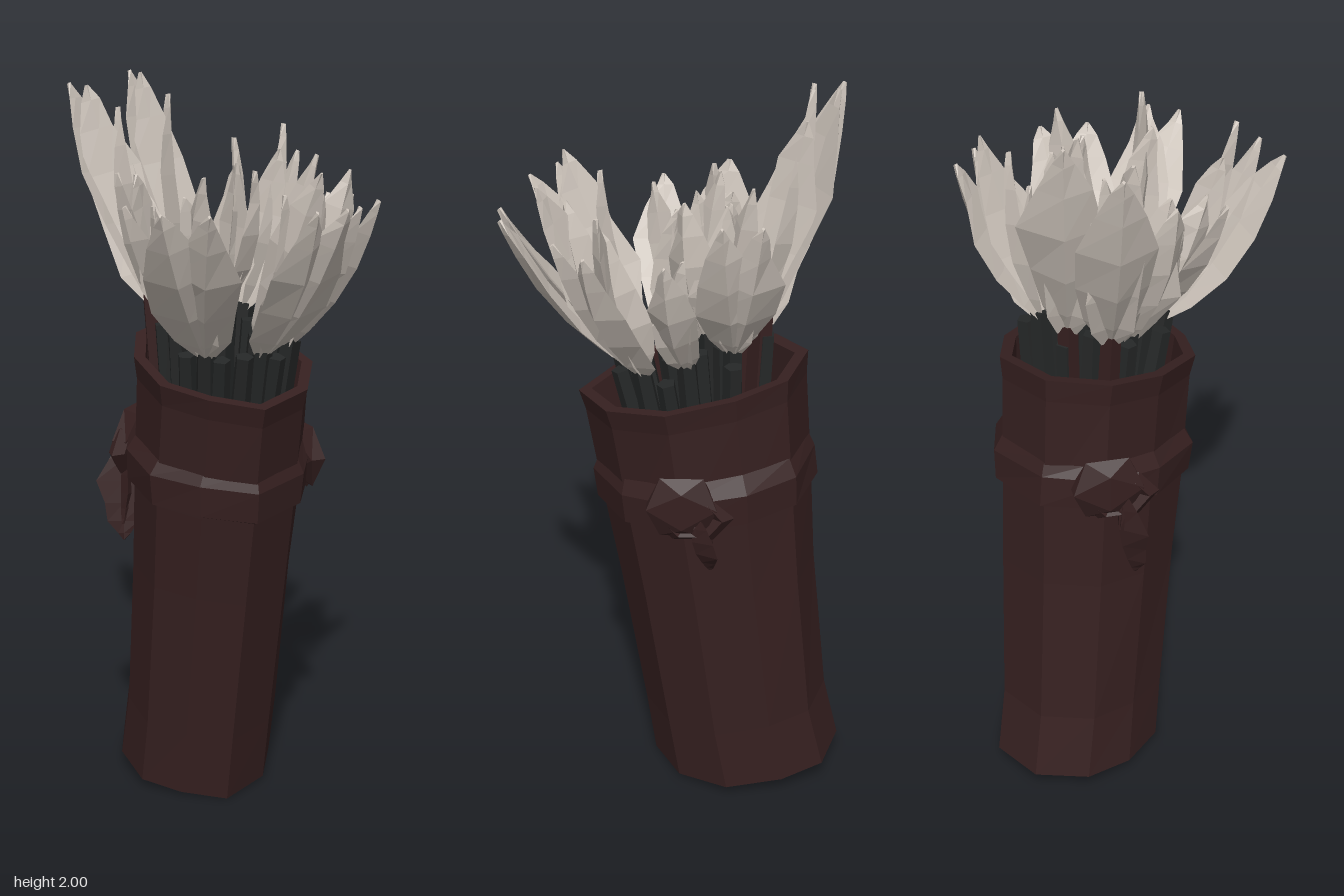
import * as THREE from 'three';

const mat = (name, color) => {
  const m = new THREE.MeshStandardMaterial({ color, flatShading: true, side: THREE.DoubleSide });
  m.name = name;
  return m;
};

// Small seeded random generator
let seed = 7;
const rand = () => (seed = (seed * 16807) % 2147483647) / 2147483647;

// Skin a list of equal-length point rings, with optional end caps
function loft(rings, capped = true) {
  const n = rings[0].length, idx = [];
  const pos = rings.flat().flatMap(p => [p.x, p.y, p.z]);
  for (let r = 0; r < rings.length - 1; r++)
    for (let i = 0; i < n; i++) {
      const a = r * n + i, b = r * n + (i + 1) % n;
      idx.push(a, b, b + n, a, b + n, a + n);
    }
  const last = (rings.length - 1) * n;
  for (let i = 1; capped && i < n - 1; i++)
    idx.push(0, i + 1, i, last, last + i, last + i + 1);
  const g = new THREE.BufferGeometry();
  g.setAttribute('position', new THREE.Float32BufferAttribute(pos, 3));
  g.setIndex(idx);
  const flat = g.toNonIndexed();
  flat.computeVertexNormals();
  return flat;
}

// Irregular ten-sided outline of the leather tube (x, z), front first
const OUTLINE = [[-0.1, 1], [0.6, 0.72], [1, 0.2], [0.92, -0.4], [0.62, -0.84],
  [-0.1, -1.02], [-0.72, -0.74], [-1, -0.25], [-1, 0.35], [-0.62, 0.72]];
const ring = (cx, cy, cz, rx, rz, tilt, wobble = 0) => OUTLINE.map(([x, z]) => {
  const k = 1 + (rand() - 0.5) * wobble;
  return new THREE.Vector3(cx + x * rx * k, cy - z * rz * tilt, cz + z * rz * k);
});

// Direction lying across a leaf that runs along axis
const across = axis => axis.clone().cross(new THREE.Vector3(0, 1, 0)).normalize();

// Folded, bowed leaf shape between two points
const PROFILE = [[0, 0.28], [0.13, 0.72], [0.36, 1], [0.6, 0.95], [0.8, 0.6], [0.93, 0.28], [1, 0.05]];
function blade(a, b, width, roll = 0, bow = 0.03) {
  const axis = b.clone().sub(a).normalize();
  const w = across(axis).applyAxisAngle(axis, roll);
  const n = axis.clone().cross(w);
  return loft(PROFILE.map(([t, k]) => {
    const c = a.clone().lerp(b, t).addScaledVector(n, bow * Math.sin(Math.PI * t));
    const h = k * width / 2, thick = 0.006 + 0.014 * k;
    const edge = s => c.clone().addScaledVector(w, s * h * (0.75 + 0.5 * rand())).addScaledVector(n, -0.3 * h);
    return [edge(1), c.clone().addScaledVector(n, thick), edge(-1), c.clone().addScaledVector(n, -thick)];
  }));
}

// Straight stick from inside the tube up to a point
function stick(top, r) {
  const foot = new THREE.Vector3(top.x * 0.8, 0.99, top.z * 0.75 - 0.04);
  const d = top.clone().sub(foot), mid = top.clone().add(foot).multiplyScalar(0.5);
  const g = new THREE.CylinderGeometry(r * 0.85, r, d.length(), 5);
  g.applyQuaternion(new THREE.Quaternion().setFromUnitVectors(new THREE.Vector3(0, 1, 0), d.normalize()));
  return g.translate(mid.x, mid.y, mid.z);
}

// Arrows: feather base, outer tip, vane width, sideways spread of the outer pair
const BACK_ARROWS = [
  [[-0.15, 1.4, -0.22], [-0.3, 1.97, -0.43], 0.2, 0],
  [[-0.03, 1.4, -0.23], [-0.13, 2, -0.41], 0.2, 0],
];
const FRONT_ARROWS = [
  [[-0.13, 1.33, -0.09], [-0.28, 1.76, -0.13], 0.2, 0],
  [[-0.11, 1.32, 0.03], [-0.33, 1.7, 0.05], 0.16, 0],
  [[-0.13, 1.3, 0.11], [-0.3, 1.72, 0.375], 0.17, 0.06],
  [[0.02, 1.3, 0.14], [0.06, 1.72, 0.45], 0.17, 0.045],
  [[0.12, 1.31, 0.09], [0.265, 1.7, 0.26], 0.17, 0.065],
  [[0.15, 1.34, -0.03], [0.34, 1.69, 0.02], 0.14, 0],
  [[0.1, 1.36, -0.15], [0.3, 1.78, -0.17], 0.15, 0.05],
  [[0, 1.36, -0.08], [0.07, 1.76, -0.08], 0.14, 0.06],
];

export function createModel() {
  seed = 7;
  const leather = mat('dark leather', 0x362020);
  const charcoal = mat('charcoal wood', 0x252727);
  const feather = mat('pale feather', 0xcbc2b9);
  const group = new THREE.Group();
  const add = (name, geo, material, parent = group) => {
    const m = new THREE.Mesh(geo, material);
    m.name = name;
    parent.add(m);
  };

  // Leaning open tube: outer wall, rim, then inner wall and floor
  add('quiver', loft([
    ring(-0.03, 0.035, -0.2, 0.21, 0.265, 0.13),
    ring(-0.025, 0.22, -0.165, 0.208, 0.255, 0.13, 0.03),
    ring(-0.015, 0.65, -0.11, 0.215, 0.265, 0.15, 0.03),
    ring(-0.012, 0.9, -0.08, 0.223, 0.283, 0.18, 0.03),
    ring(-0.01, 1.19, -0.045, 0.225, 0.295, 0.2),
    ring(-0.01, 1.25, -0.037, 0.235, 0.305, 0.21),
    ring(-0.01, 1.25, -0.037, 0.205, 0.27, 0.21),
    ring(-0.01, 1.0, -0.065, 0.19, 0.25, 0.2),
  ]), leather);

  // Strap wrapped round the tube
  add('strap', loft([
    ring(-0.008, 0.89, -0.08, 0.212, 0.27, 0.14),
    ring(-0.008, 0.905, -0.077, 0.243, 0.298, 0.14, 0.03),
    ring(-0.008, 0.99, -0.072, 0.252, 0.302, 0.14, 0.04),
    ring(-0.008, 1.04, -0.067, 0.22, 0.28, 0.14),
  ], false), leather);

  // Knots with hanging ends: position, outward angle, tail length
  for (const [x, y, z, angle, tail] of [[0.222, 0.97, -0.02, Math.PI / 2, 0.13], [-0.18, 1.0, -0.29, -2.4, 0.23]]) {
    const knot = new THREE.Group();
    knot.name = 'strapKnot';
    add('knot', new THREE.IcosahedronGeometry(1, 0).scale(0.11, 0.1, 0.04), leather, knot);
    add('knotLoop', new THREE.TorusGeometry(0.06, 0.024, 4, 6).scale(1.3, 0.9, 1).translate(0.03, -0.03, 0), leather, knot);
    const start = new THREE.Vector3(0.04, -0.03, 0.012);
    for (const [drop, width, roll] of [[tail, 0.13, 0], [tail * 0.8, 0.06, 1.2]])
      add('knotTail', blade(start, new THREE.Vector3(0.08, -0.06 - drop, -0.005), width, roll, 0.01), leather, knot);
    knot.position.set(x, y, z);
    knot.rotation.y = angle;
    group.add(knot);
  }

  // Feathered arrows: one or two outer vanes and a pair of steeper inner vanes
  const addArrow = ([from, to, width, spread], shaftMaterial) => {
    const arrow = new THREE.Group();
    arrow.name = 'arrow';
    const base = new THREE.Vector3(...from), tip = new THREE.Vector3(...to);
    const side = across(tip.clone().sub(base));
    add('shaft', stick(base.clone().setY(base.y + 0.02), 0.032), shaftMaterial, arrow);
    for (const s of spread ? [-1, 1] : [0])
      add('outerVane', blade(base, tip.clone().addScaledVector(side, s * spread), width, s * 0.2), feather, arrow);
    for (const s of [-1, 1]) {
      const inner = tip.clone().lerp(base, 0.42 + 0.12 * s).setY(tip.y + (spread ? 0.05 : -0.03) - 0.03 * s);
      add('innerVane', blade(base, inner.addScaledVector(side, s * 0.03), width * 0.8, s * 1.0), feather, arrow);
    }
    group.add(arrow);
  };
  for (const a of BACK_ARROWS) addArrow(a, leather);
  for (const a of FRONT_ARROWS) addArrow(a, charcoal);

  // Bare stick ends around the mouth
  for (let i = 0; i < 12; i++) {
    const t = i * 2.4 + 0.9, r = i % 3 ? 0.9 : 0.4;
    const z = 0.22 * r * Math.cos(t) - 0.04;
    add('bareShaft', stick(new THREE.Vector3(0.19 * r * Math.sin(t), 1.3 - 0.2 * z + 0.04 * rand(), z), 0.03), charcoal);
  }

  return group;
}
